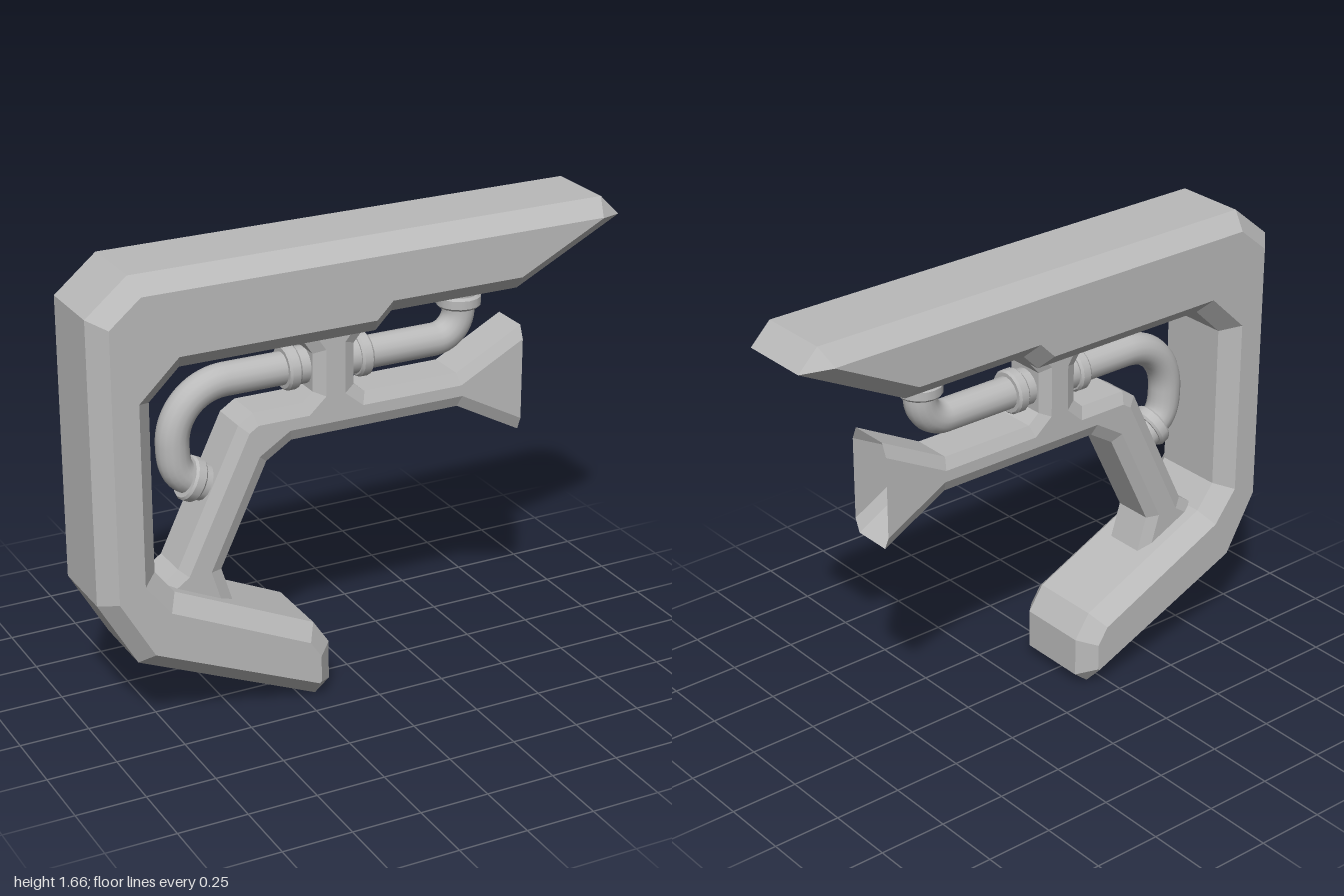
import * as THREE from 'three';

const grey = new THREE.MeshStandardMaterial({ color: 0xbababa });
grey.name = 'plain grey';
const greyShell = new THREE.MeshStandardMaterial({ color: 0xbababa, side: THREE.DoubleSide });
greyShell.name = 'plain grey shell';

// Move every edge of a counter-clockwise outline inwards; edges in "open" stay put
function inset(pts, d, open) {
  const n = pts.length;
  const edge = (i) => {
    const [ax, ay] = pts[i], [bx, by] = pts[(i + 1) % n];
    const l = Math.hypot(bx - ax, by - ay);
    return [-(by - ay) / l, (bx - ax) / l, open.includes(i) ? 0 : d];
  };
  return pts.map(([x, y], i) => {
    const [a, b, e] = edge((i + n - 1) % n), [c, f, g] = edge(i);
    const det = a * f - b * c;
    return [x + (e * f - b * g) / det, y + (a * g - e * c) / det];
  });
}

// Plate with chamfered rims: outline up to z1, inset outline at z2; open edges get no wall
function chamferedPlate(pts, d, z1, z2, open = []) {
  const inner = inset(pts, d, open);
  const rings = [[inner, -z2], [pts, -z1], [pts, z1], [inner, z2]];
  const pos = [];
  const put = ([p, z], i) => pos.push(p[i][0], p[i][1], z);
  for (let k = 0; k < 3; k++) {
    const lo = rings[k], hi = rings[k + 1];
    pts.forEach((_, i) => {
      if (open.includes(i)) return;
      const j = (i + 1) % pts.length;
      put(lo, i); put(lo, j); put(hi, j);
      put(lo, i); put(hi, j); put(hi, i);
    });
  }
  const contour = inner.map(([x, y]) => new THREE.Vector2(x, y));
  for (const [a, b, c] of THREE.ShapeUtils.triangulateShape(contour, [])) {
    put(rings[3], a); put(rings[3], b); put(rings[3], c);
    put(rings[0], a); put(rings[0], c); put(rings[0], b);
  }
  const geo = new THREE.BufferGeometry();
  geo.setAttribute('position', new THREE.Float32BufferAttribute(pos, 3));
  geo.computeVertexNormals();
  return geo;
}

const v = (x, y) => new THREE.Vector3(x, y, 0);

function pipe(curves) {
  const path = new THREE.CurvePath();
  curves.forEach((c) => path.add(c));
  return new THREE.TubeGeometry(path, 48, 0.058, 16);
}

// Collar whose flange sits at (x, y) and which points along (dx, dy)
const flangeProfile = [
  [0, 0], [0.066, 0], [0.066, 0.036], [0.072, 0.036], [0.079, 0.044],
  [0.079, 0.074], [0.072, 0.082], [0.056, 0.082],
];
function collar(x, y, dx, dy) {
  // Doubled points keep the rims crisp
  const pts = flangeProfile.flatMap(([r, h], i) =>
    i === 0 ? [new THREE.Vector2(r, h)] : [new THREE.Vector2(r, h), new THREE.Vector2(r, h)]);
  const parts = new THREE.Group();
  for (let i = 0; i < pts.length - 1; i++) {
    if (pts[i].equals(pts[i + 1])) continue;
    const band = new THREE.Mesh(new THREE.LatheGeometry([pts[i], pts[i + 1]], 16), greyShell);
    band.name = 'collarBand';
    parts.add(band);
  }
  parts.name = 'pipeCollar';
  parts.position.set(x, y, 0);
  parts.quaternion.setFromUnitVectors(new THREE.Vector3(0, 1, 0), v(dx, dy).normalize());
  return parts;
}

export function createModel() {
  const model = new THREE.Group();
  model.name = 'bracket';
  const add = (name, geo, mat = grey) => {
    const mesh = new THREE.Mesh(geo, mat);
    mesh.name = name;
    model.add(mesh);
  };

  // Heavy hooked outer frame
  add('outerFrame', chamferedPlate([
    [0.995, 1.59], [0.92, 1.665], [-0.85, 1.665], [-1, 1.54], [-1, 0.53], [-0.86, 0.285],
    [-0.195, 0], [-0.14, 0.045], [-0.14, 0.19], [-0.2, 0.28], [-0.72, 0.52], [-0.79, 0.61],
    [-0.79, 1.22], [-0.68, 1.325], [0.04, 1.325], [0.1, 1.385], [0.59, 1.385],
  ], 0.058, 0.13, 0.19));

  // Thin inner strut with a post, a slanted leg and an open flared end
  add('innerStrut', chamferedPlate([
    [0.645, 1.22], [0.39, 1.085], [0.03, 1.085], [-0.012, 1.12], [-0.012, 1.27], [0.04, 1.33],
    [-0.217, 1.33], [-0.168, 1.257], [-0.168, 1.12], [-0.206, 1.085], [-0.393, 1.085],
    [-0.447, 1.05], [-0.68, 0.567], [-0.74, 0.525], [-0.48, 0.405], [-0.52, 0.535],
    [-0.345, 0.9], [-0.25, 0.96], [0.395, 0.96], [0.645, 0.825],
  ], 0.042, 0.072, 0.092, [5, 13, 19]), greyShell);

  // Pipe from the post up into the frame
  add('shortPipe', pipe([
    new THREE.LineCurve3(v(-0.01, 1.195), v(0.335, 1.195)),
    new THREE.CubicBezierCurve3(v(0.335, 1.195), v(0.39, 1.195), v(0.435, 1.24), v(0.435, 1.295)),
    new THREE.LineCurve3(v(0.435, 1.295), v(0.435, 1.385)),
  ]));
  // Pipe from the post round to the leg
  add('longPipe', pipe([
    new THREE.LineCurve3(v(-0.17, 1.195), v(-0.46, 1.195)),
    new THREE.CubicBezierCurve3(v(-0.46, 1.195), v(-0.57, 1.195), v(-0.657, 1.11), v(-0.657, 1)),
    new THREE.CubicBezierCurve3(v(-0.657, 1), v(-0.657, 0.93), v(-0.65, 0.89), v(-0.6, 0.862)),
    new THREE.LineCurve3(v(-0.6, 0.862), v(-0.54, 0.833)),
  ]));

  // Collars at the pipe ends
  model.add(
    collar(-0.012, 1.195, 1, 0),
    collar(-0.168, 1.195, -1, 0),
    collar(0.435, 1.388, 0, -1),
    collar(-0.54, 0.833, -0.9, 0.43),
  );
  return model;
}
